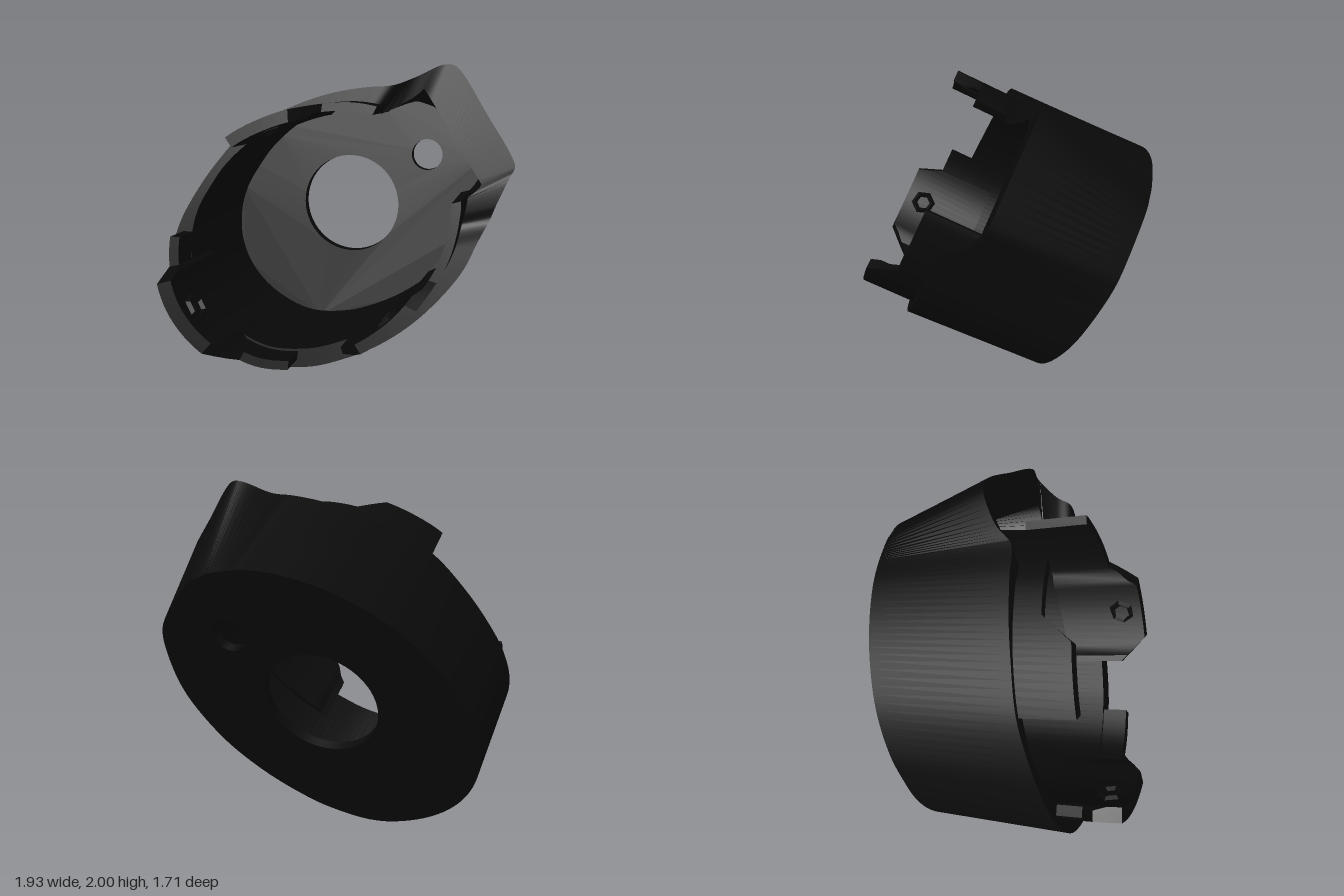
import * as THREE from 'three';
import { toCreasedNormals } from 'three/addons/utils/BufferGeometryUtils.js';

// Housing outline, counter-clockwise in the tilted frame: back u, v, then front u, v, w
const OUTLINE = [
  [-.3, .069, -.32, .026, .684], [0, .124, -.01, .08, .684], [.2, .222, .2, .185, .684],
  [.4, .364, .41, .335, .684], [.6, .572, .61, .55, .684], [.75, .835, .79, .85, .684],
  [.8, 1, .85, 1.05, .684], [.815, 1.15, .89, 1.18, .684], [.815, 1.2, .905, 1.25, .62],
  [.81, 1.3, .945, 1.4, .55], [.79, 1.38, .962, 1.46, .55], [.75, 1.45, .93, 1.52, .55],
  [.62, 1.6, .77, 1.71, .55], [.52, 1.69, .6, 1.91, .55], [.45, 1.72, .55, 1.945, .55],
  [.4, 1.74, .49, 1.94, .55], [.3, 1.757, .35, 1.85, .6], [.23, 1.765, .26, 1.8, .68],
  [.1, 1.763, .1, 1.765, .684], [-.1, 1.72, -.1, 1.7, .684], [-.3, 1.64, -.3, 1.6, .684],
  [-.535, 1.49, -.535, 1.45, .684], [-.73, 1.28, -.73, 1.2, .684], [-.83, 1.11, -.865, .96, .684],
  [-.91, .93, -.935, .79, .684], [-.94, .74, -.97, .6, .684], [-.91, .52, -.945, .43, .684],
  [-.8, .32, -.82, .26, .684], [-.6, .16, -.62, .11, .684],
];
const N = OUTLINE.length, BACK = -.155, FLOOR = -.095, CU = -.06, CV = .92;
const backCurve = new THREE.CatmullRomCurve3(OUTLINE.map(p => new THREE.Vector3(p[0], p[1], BACK)), true);
const frontCurve = new THREE.CatmullRomCurve3(OUTLINE.map(p => new THREE.Vector3(p[2], p[3], p[4])), true);
const clamp = THREE.MathUtils.clamp;

// Point on the back oval at outline index k, scaled about its centre and raised to w
function oval(k, scale, w, du = 0, dv = 0) {
  const p = backCurve.getPoint((((k % N) + N) % N) / N);
  return new THREE.Vector3(CU + (p.x - CU) * scale + du, CV + (p.y - CV) * scale + dv, w);
}

// Inner edge of the rim: an oval with a straight chord along the corner block
function innerRim(k, w) {
  const t = clamp((k - 9) / 6.5, 0, 1);
  const chord = new THREE.Vector3(.86 - .45 * t, 1.27 + .53 * t, w);
  return oval(k, .88, w, -.01, -.02).lerp(chord, clamp(Math.min(k - 8.8, 16.5 - k), 0, 1));
}

// Surface through rows of points
function grid(patches) {
  const pos = [];
  for (const { rows, closed } of patches) {
    for (let r = 0; r < rows.length - 1; r++) {
      const a = rows[r], b = rows[r + 1], n = a.length;
      for (let i = 0; i < (closed ? n : n - 1); i++) {
        const j = (i + 1) % n;
        for (const p of [a[i], a[j], b[j], a[i], b[j], b[i]]) pos.push(p.x, p.y, p.z);
      }
    }
  }
  const g = new THREE.BufferGeometry();
  g.setAttribute('position', new THREE.Float32BufferAttribute(pos, 3));
  g.computeVertexNormals();
  return toCreasedNormals(g, .5);
}

function heightAt(keys, k) {
  for (let i = 1; i < keys.length; i++) {
    const [k0, h0] = keys[i - 1], [k1, h1] = keys[i];
    if (k <= k1) return h0 + (h1 - h0) * (k - k0) / (k1 - k0);
  }
  return keys[keys.length - 1][1];
}

// Raised lip following the rim; keys are [outline index, height]
function lip(keys, outer = .935, dv = -.02) {
  const ks = [];
  for (let i = 1; i < keys.length; i++) {
    const steps = Math.max(2, Math.ceil((keys[i][0] - keys[i - 1][0]) * 5));
    for (let s = i === 1 ? 0 : 1; s <= steps; s++)
      ks.push(keys[i - 1][0] + (keys[i][0] - keys[i - 1][0]) * s / steps);
  }
  const row = (inner, top) => ks.map(k => {
    const h = heightAt(keys, k);
    const s = inner ? (h > .9 ? .85 : .88) : outer;
    return oval(k, s, top ? h : .45, -.01, dv);
  });
  const ob = row(0, 0), ot = row(0, 1), it = row(1, 1), ib = row(1, 0), e = ks.length - 1;
  return grid([
    { rows: [ob, ot, it, ib, ob] },
    { rows: [[ib[0], ob[0]], [it[0], ot[0]]] },
    { rows: [[ob[e], ib[e]], [ot[e], it[e]]] },
  ]);
}

export function createModel() {
  const black = new THREE.MeshStandardMaterial({ color: 0x0a0a0a });
  black.name = 'black';
  const model = new THREE.Group();
  model.name = 'tiltedHousing';
  const tilt = new THREE.Group();
  tilt.name = 'tiltedBody';
  tilt.rotation.x = -THREE.MathUtils.degToRad(24);
  model.add(tilt);
  const add = (name, geometry) => {
    const m = new THREE.Mesh(geometry, black);
    m.name = name;
    tilt.add(m);
    return m;
  };

  // Cup wall with the flared corner block
  const ks = Array.from({ length: N * 6 }, (_, i) => i / 6);
  const front = ks.map(k => frontCurve.getPoint(k / N));
  add('wall', grid([{
    closed: true,
    rows: [
      ks.map(k => oval(k, .94, BACK)),
      ks.map(k => oval(k, 1, BACK)),
      front,
      ks.map((k, i) => innerRim(k, front[i].z)),
      ks.map(k => oval(k, .92, FLOOR)),
    ],
  }]));

  // Floor plate with the large and small round holes
  const shape = new THREE.Shape(ks.map(k => {
    const p = oval(k, .96, 0);
    return new THREE.Vector2(p.x, p.y);
  }));
  for (const [u, v, r] of [[-.08, .95, .3275], [.38, 1.363, .1]]) {
    shape.holes.push(new THREE.Path().absarc(u, v, r, 0, Math.PI * 2, true));
  }
  const floor = new THREE.ExtrudeGeometry(shape, { depth: FLOOR - BACK, bevelEnabled: false, curveSegments: 48 });
  floor.translate(0, 0, BACK);
  add('floor', toCreasedNormals(floor, .5));

  // Three lips, each with a taller fastening tab
  add('lowerLip', lip([[24.8, .84], [25.7, .84], [26, 1], [28.1, 1], [28.7, .84], [29.75, .84]], .95, -.035));
  add('sideLip', lip([[2.3, .82], [3.05, 1], [4.5, 1], [5, .84], [9.3, .84]]));
  add('upperLip', lip([[16.6, .84], [18.8, .84], [19.5, 1], [21.1, 1]]));

  // Hexagonal nut seats on the inside of the tabs
  for (const k of [27.1, 3.8, 20.3]) {
    const seat = add('nutSeat', new THREE.TorusGeometry(.065, .02, 4, 6).toNonIndexed());
    seat.geometry.computeVertexNormals();
    seat.position.copy(oval(k, .85, .87, -.01, -.025));
    const inward = new THREE.Vector3(CU - seat.position.x, CV - seat.position.y, 0).normalize();
    seat.quaternion.setFromUnitVectors(new THREE.Vector3(0, 0, 1), inward);
  }
  return model;
}
